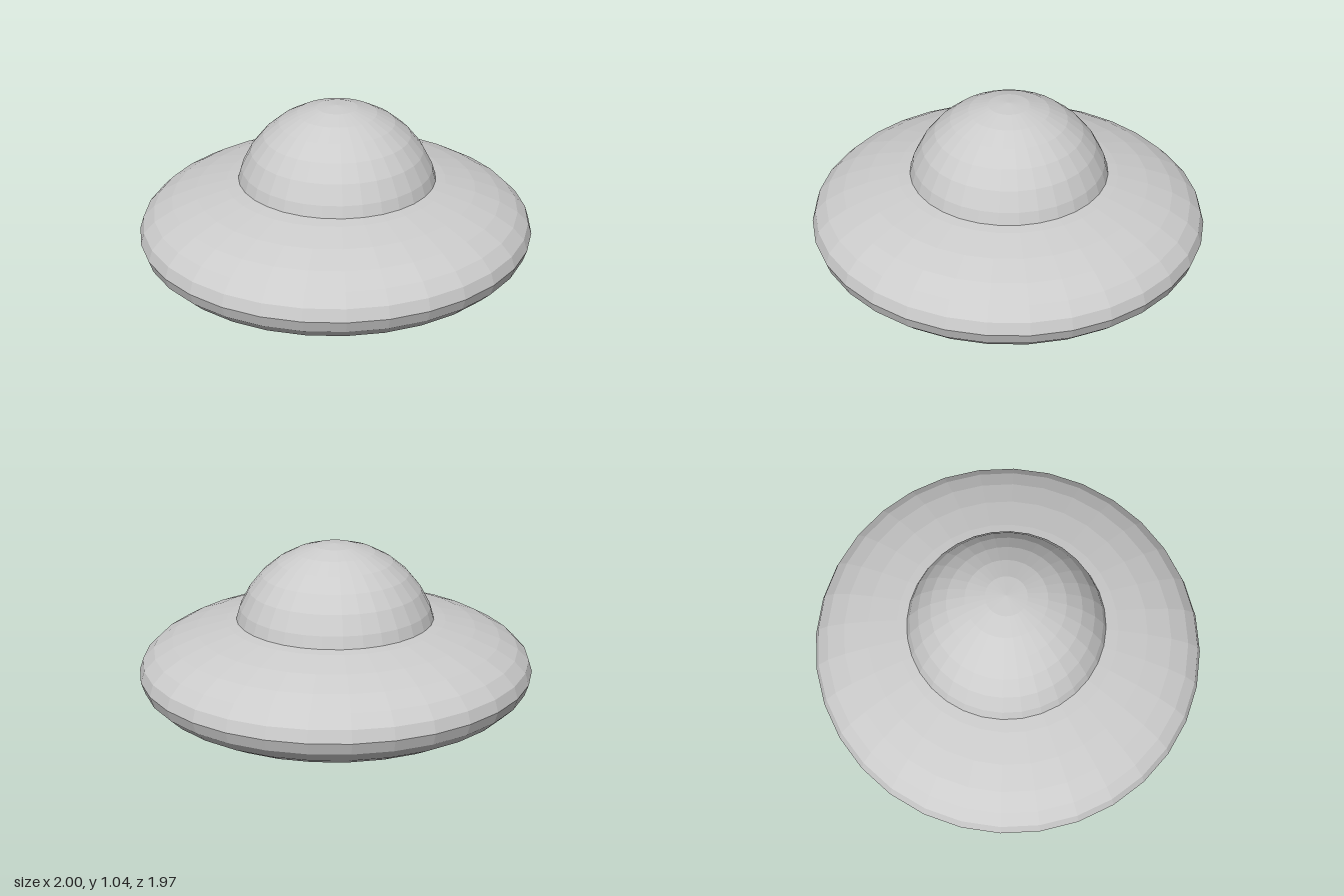
import * as THREE from 'three';

export function createModel() {
  const group = new THREE.Group();
  const material = new THREE.MeshStandardMaterial({ color: 0xcccccc, flatShading: true });

  // Faceted ellipsoid with the given radii, centred at (x, y, 0)
  function addEllipsoid(name, rx, ry, rz, x, y) {
    const geometry = new THREE.SphereGeometry(1, 32, 16);
    geometry.scale(rx, ry, rz);
    const mesh = new THREE.Mesh(geometry, material);
    mesh.name = name;
    mesh.position.set(x, y, 0);
    group.add(mesh);
  }

  // Wide flattened saucer hull
  addEllipsoid('saucerHull', 1, 0.3, 0.986, 0, 0.4);
  // Central sphere: forms the dome above and the bulge below the hull
  addEllipsoid('cabinSphere', 0.518, 0.518, 0.518, 0.008, 0.518);

  return group;
}
